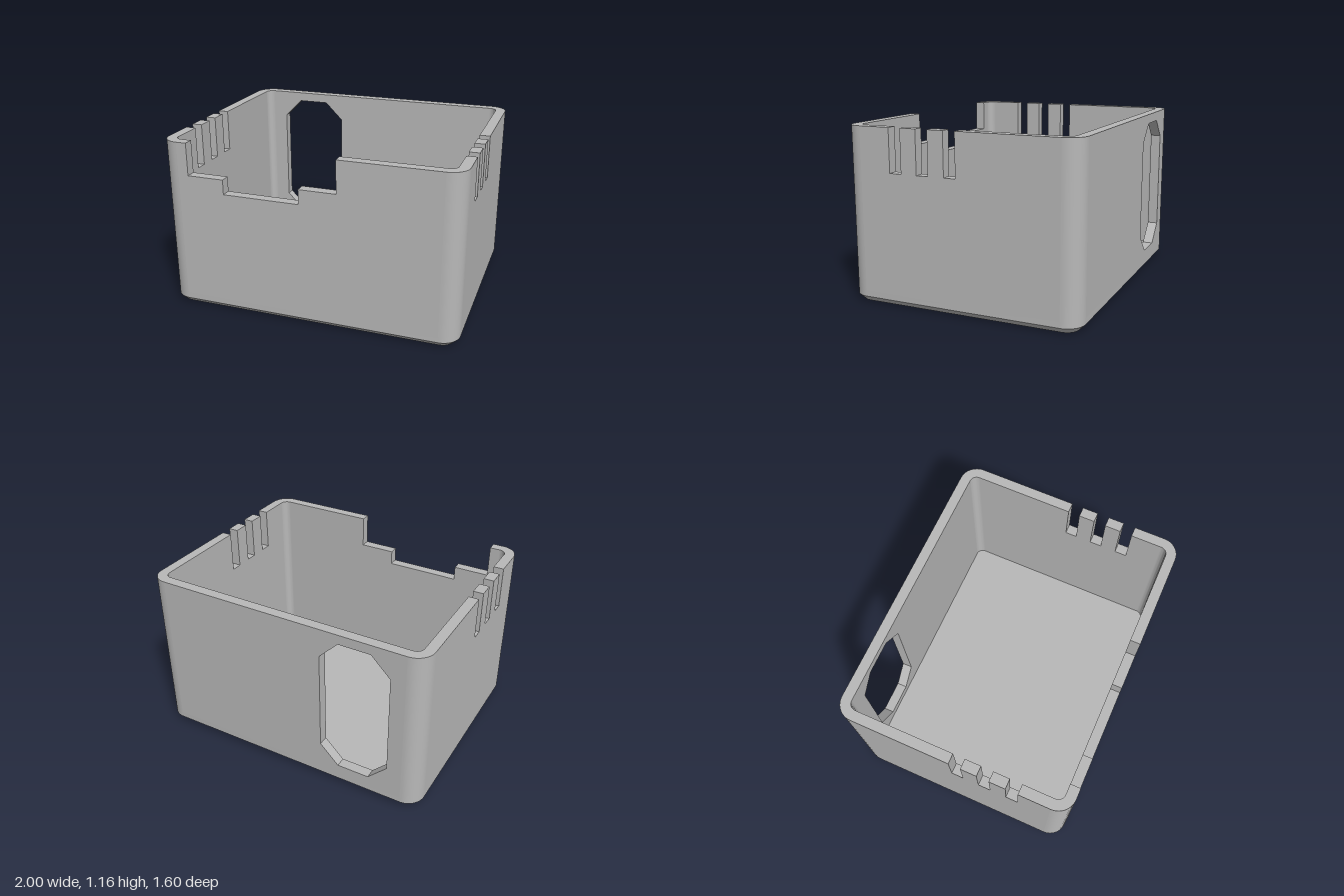
import * as THREE from 'three';
import { toCreasedNormals } from 'three/addons/utils/BufferGeometryUtils.js';

const W = 1, D = 0.8, H = 1.165;              // half width, half depth, height
const WALL = 0.07, FLOOR = 0.08, R = 0.12, CHAMFER = 0.04;

// Rounded rectangle outline of the box, moved inwards by `inset`
function outline(inset, steps = 12) {
  const pts = [], r = R - inset;
  for (let k = 0; k < 4; k++) {
    const cx = (k === 0 || k === 3 ? 1 : -1) * (W - R);
    const cy = (k < 2 ? 1 : -1) * (D - R);
    for (let i = 0; i <= steps; i++) {
      const a = (k + i / steps) * Math.PI / 2;
      pts.push(new THREE.Vector2(cx + r * Math.cos(a), cy + r * Math.sin(a)));
    }
  }
  return pts;
}

// Outer skin lofted through [inset, y] levels
function loft(levels) {
  const pos = [], idx = [];
  const rings = levels.map(([inset]) => outline(inset));
  const n = rings[0].length;
  rings.forEach((ring, j) => ring.forEach(p => pos.push(p.x, levels[j][1], -p.y)));
  for (let j = 0; j < rings.length - 1; j++) {
    for (let i = 0; i < n; i++) {
      const a = j * n + i, b = j * n + (i + 1) % n;
      idx.push(a, b, b + n, a, b + n, a + n);
    }
  }
  const g = new THREE.BufferGeometry();
  g.setAttribute('position', new THREE.Float32BufferAttribute(pos, 3));
  g.setIndex(idx);
  return toCreasedNormals(g, 0.5);
}

// Straight wall: `cuts` runs along the top edge from right to left
function wallGeometry(half, cuts, hole) {
  const v = ([x, y]) => new THREE.Vector2(x, y);
  const shape = new THREE.Shape([[-half, FLOOR], [half, FLOOR], [half, H], ...cuts, [-half, H]].map(v));
  if (hole) shape.holes.push(new THREE.Path(hole.map(v)));
  const g = new THREE.ExtrudeGeometry(shape, { depth: WALL, bevelEnabled: false });
  // Leave out the faces hidden where the wall joins the corners and base
  const p = g.attributes.position, keep = [];
  const near = (a, b) => Math.abs(a - b) < 1e-5;
  for (let i = 0; i < p.count; i += 3) {
    const t = [i, i + 1, i + 2];
    const hidden = t.every(k => near(p.getX(k), half)) || t.every(k => near(p.getX(k), -half)) ||
      t.every(k => near(p.getY(k), FLOOR));
    if (!hidden) keep.push(...t);
  }
  g.setIndex(keep);
  g.clearGroups();
  return g;
}

export function createModel() {
  const model = new THREE.Group();
  const grey = new THREE.MeshStandardMaterial({ color: 0xb8b8b8 });
  grey.name = 'grey plastic';
  const add = (name, geometry) => {
    const mesh = new THREE.Mesh(geometry, grey);
    mesh.name = name;
    model.add(mesh);
    return mesh;
  };

  // Base: chamfered skirt, underside and inner floor
  add('baseSkirt', loft([[CHAMFER, 0], [0, CHAMFER], [0, FLOOR]]));
  add('underside', new THREE.ShapeGeometry(new THREE.Shape(outline(CHAMFER))).rotateX(Math.PI / 2));
  add('innerFloor', new THREE.ShapeGeometry(new THREE.Shape(outline(WALL))).rotateX(-Math.PI / 2))
    .position.y = FLOOR;

  // Rounded corner posts
  const profile = [[R, FLOOR], [R, H], [R - WALL, H], [R - WALL, FLOOR]].map(([x, y]) => new THREE.Vector2(x, y));
  for (let k = 0; k < 4; k++) {
    const g = toCreasedNormals(new THREE.LatheGeometry(profile, 12, k * Math.PI / 2, Math.PI / 2), 0.5);
    add('corner' + (k + 1), g).position.set((k < 2 ? 1 : -1) * (W - R), 0, (k === 0 || k === 3 ? 1 : -1) * (D - R));
  }

  // Walls, each turned to its own side
  const addWall = (name, half, distance, angle, cuts, hole) =>
    add(name, wallGeometry(half, cuts, hole).translate(0, 0, distance - WALL).rotateY(angle));

  // Front wall with stepped notch
  addWall('frontWall', W - R, D, 0, [
    [0.21, H], [0.21, 0.945], [-0.04, 0.945], [-0.04, 0.845],
    [-0.56, 0.845], [-0.56, 0.945], [-0.81, 0.945], [-0.81, H],
  ]);

  // Back wall with tall eight-sided opening
  addWall('backWall', W - R, D, Math.PI, [], [
    [0.43, 0.15], [0.65, 0.15], [0.78, 0.28], [0.78, 0.97],
    [0.65, 1.10], [0.43, 1.10], [0.30, 0.97], [0.30, 0.28],
  ]);

  // Side walls with three slots each
  const slots = [[0, 0.08], [0.19, 0.272], [0.383, 0.465]];
  for (const side of [1, -1]) {
    const cuts = slots.map(([a, b]) => [-side * a, -side * b].sort((p, q) => q - p))
      .sort((p, q) => q[0] - p[0])
      .flatMap(([hi, lo]) => [[hi, H], [hi, 0.877], [lo, 0.877], [lo, H]]);
    addWall(side > 0 ? 'leftWall' : 'rightWall', D - R, W, side * Math.PI / 2, cuts);
  }
  return model;
}
